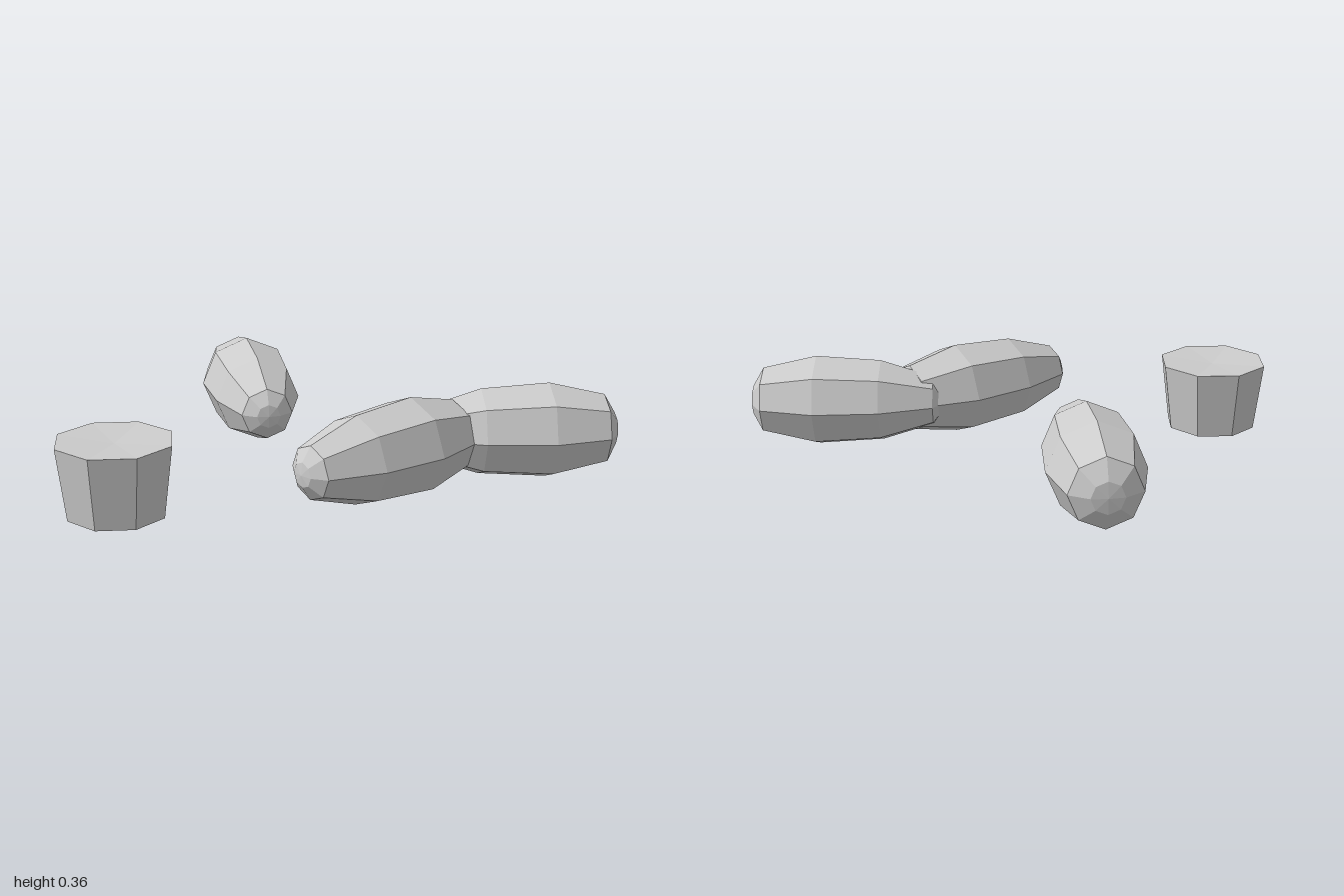
import * as THREE from 'three';

const stone = new THREE.MeshStandardMaterial({ color: 0xcccccc, flatShading: true });
stone.name = 'stoneGrey';

const SIDES = 8;

function lathe(profile) {
  return new THREE.LatheGeometry(profile.map(([r, y]) => new THREE.Vector2(r, y)), SIDES);
}

export function createModel() {
  const model = new THREE.Group();
  model.name = 'seatingSet';

  // Pillow-shaped log: narrow end to wide end, origin at its widest ring
  const logGeometry = lathe([
    [0, -0.494], [0.045, -0.488], [0.097, -0.453], [0.163, -0.25],
    [0.18, 0], [0.132, 0.207], [0.06, 0.25], [0, 0.256],
  ]);
  logGeometry.rotateZ(-Math.PI / 2);

  // name, widest ring x and z, axis direction x and z
  const logs = [
    ['backLog', 0.048, -0.52, 0.276, -0.961],
    ['frontLeftLog', 0.747, 0.56, 0.917, 0.4],
    ['frontRightLog', 0.205, 0.48, 0.982, -0.19],
  ];
  for (const [name, x, z, dx, dz] of logs) {
    const log = new THREE.Mesh(logGeometry, stone);
    log.name = name;
    log.position.set(x, 0.183, z);
    log.rotation.y = Math.atan2(-dz, dx);
    model.add(log);
  }

  // Tapered stump with a slightly dished top
  const stump = new THREE.Mesh(lathe([[0, 0], [0.18, 0], [0.214, 0.265], [0, 0.253]]), stone);
  stump.name = 'stump';
  stump.position.set(-0.786, 0, 0.165);
  model.add(stump);

  return model;
}
